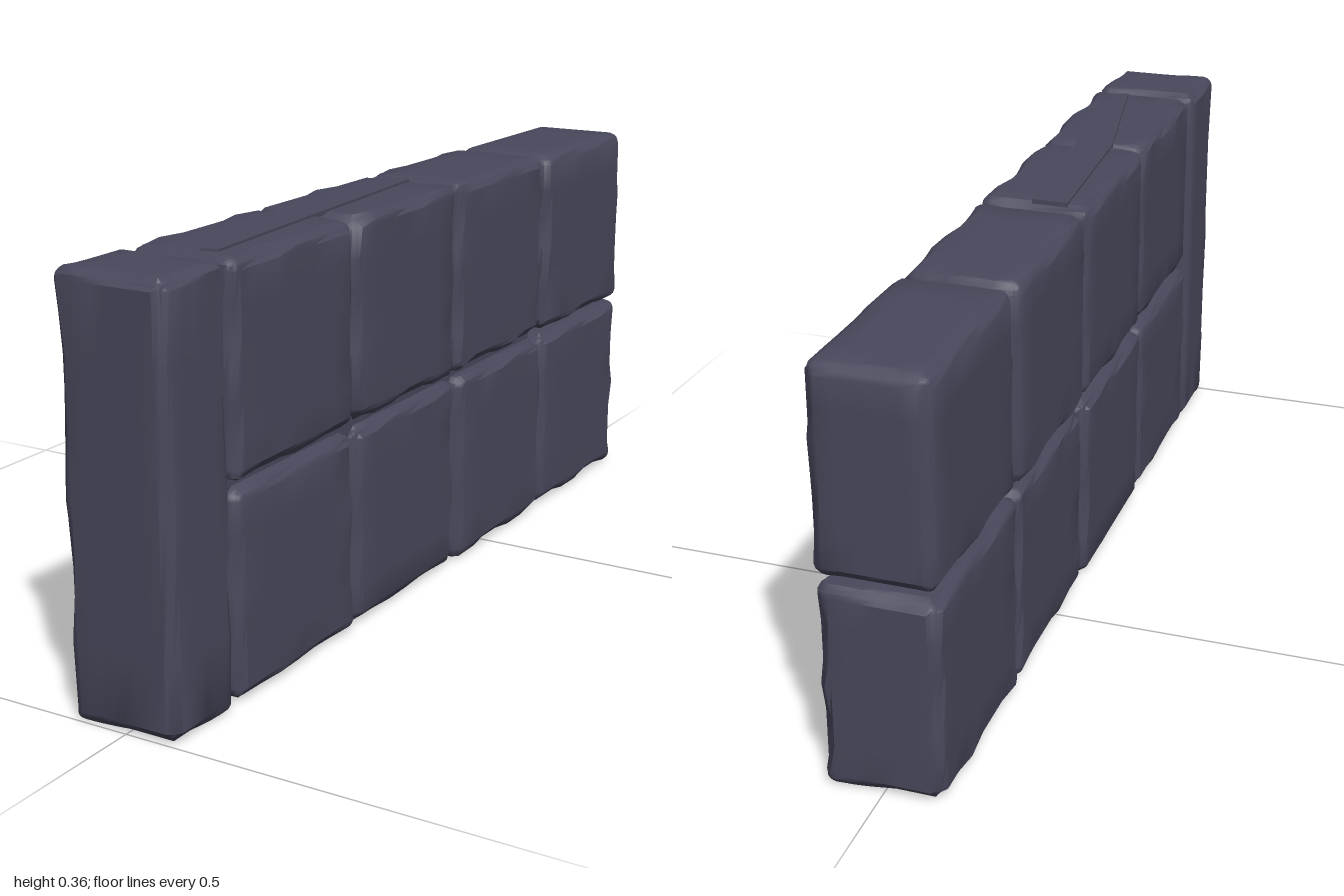
import * as THREE from 'three';
import { mergeVertices, toCreasedNormals } from 'three/addons/utils/BufferGeometryUtils.js';

// Box between two corners with worn, rounded and slightly wavy edges
function stoneGeometry(min, max, r, seed) {
  const N = 10;
  const half = [0, 1, 2].map(i => (max[i] - min[i]) / 2);
  const mid = [0, 1, 2].map(i => (max[i] + min[i]) / 2);
  let geo = new THREE.BoxGeometry(2, 2, 2, N, N, N);
  geo.deleteAttribute('uv');
  geo.deleteAttribute('normal');
  geo = mergeVertices(geo, 1e-4);
  const pos = geo.attributes.position;
  const p = new THREE.Vector3(), inner = new THREE.Vector3();

  // The outer two grid steps on each side form the rounded edge
  const remap = (t, h) => {
    const a = Math.abs(t), s = Math.sign(t), flat = 1 - 4 / N;
    return a <= flat ? s * (h - r) * a / flat : s * (h - r + r * (a - flat) / (1 - flat));
  };
  for (let i = 0; i < pos.count; i++) {
    const c = [pos.getX(i), pos.getY(i), pos.getZ(i)].map((t, k) => remap(t, half[k]));
    p.fromArray(c);
    inner.fromArray(c.map((v, k) => THREE.MathUtils.clamp(v, r - half[k], half[k] - r)));
    p.sub(inner);
    const corner = [p.x, p.y, p.z].filter(v => Math.abs(v) > 1e-5).length > 1;
    p.setLength(r);
    // Chipped wear only touches the edges
    if (corner) p.multiplyScalar(0.88 + 0.3 * Math.sin(c[1] * 70 + seed * 2.3) * Math.sin(c[2] * 62 + c[0] * 40 + seed));
    p.add(inner);
    pos.setXYZ(i, p.x + mid[0], p.y + mid[1], p.z + mid[2]);
  }
  return toCreasedNormals(geo, 0.6);
}

export function createModel() {
  const group = new THREE.Group();
  const stone = new THREE.MeshStandardMaterial({ color: 0x48485c });
  stone.name = 'slate stone';

  const add = (name, geo) => {
    const mesh = new THREE.Mesh(geo, stone);
    mesh.name = name;
    group.add(mesh);
    return mesh;
  };

  // Full-height post at the front end
  add('endPost', stoneGeometry([-0.051, 0, 0.921], [0.047, 0.356, 1], 0.009, 1));

  // Two courses of four blocks
  const joints = [0.21, 0.389, 0.565, 0.742, 0.919];
  const courses = [[0.001, 0.177], [0.182, 0.356]];
  courses.forEach(([y0, y1], row) => {
    for (let i = 0; i < 4; i++) {
      const shift = 0.0015 * Math.sin(i * 2.1 + row * 1.7);
      add(row ? 'upperBlock' : 'lowerBlock', stoneGeometry(
        [-0.05 + shift, y0, joints[i] + 0.002],
        [0.048 + shift, y1, joints[i + 1] - 0.002],
        0.01, i * 3 + row * 5 + 2));
    }
  });

  // Mortar closing the joints between the blocks
  const core = add('mortarCore', new THREE.BoxGeometry(0.076, 0.33, 0.55));
  core.position.set(-0.001, 0.178, 0.675);

  // Thin split flake on top, running diagonally over two blocks
  const flake = new THREE.Shape([
    [-0.03, 0.575], [0.002, 0.575], [0.014, 0.74], [0.026, 0.9], [0.012, 0.905], [-0.02, 0.74],
  ].map(([x, z]) => new THREE.Vector2(x, -z)));
  const flakeGeo = new THREE.ExtrudeGeometry(flake, { depth: 0.004, bevelEnabled: false });
  flakeGeo.rotateX(-Math.PI / 2);
  add('topFlake', flakeGeo).position.y = 0.354;

  return group;
}
